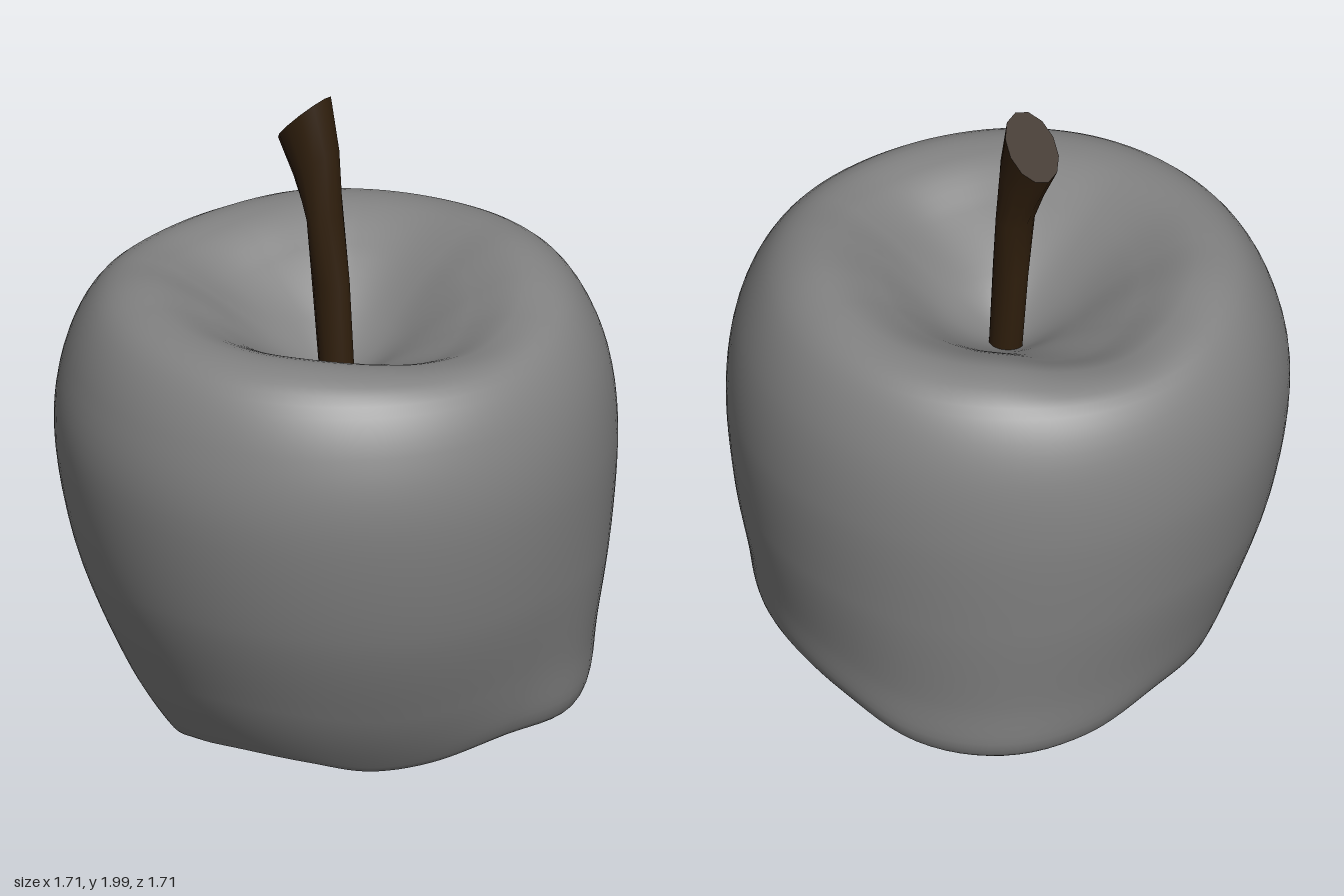
import * as THREE from 'three';
import { ParametricGeometry } from 'three/addons/geometries/ParametricGeometry.js';
import { toCreasedNormals } from 'three/addons/utils/BufferGeometryUtils.js';

// Every 20 degrees around the fruit: radius of the lower edge, its height, height of the top rim
const OUTLINE = new THREE.CatmullRomCurve3([
  [0.67, 0.088, 1.36], [0.58, 0.03, 1.37], [0.54, 0.014, 1.395],
  [0.56, 0.055, 1.41], [0.57, 0.07, 1.41], [0.56, 0.045, 1.41],
  [0.54, 0.012, 1.415], [0.6, 0.13, 1.415], [0.66, 0.165, 1.385],
  [0.7, 0.18, 1.36], [0.73, 0.115, 1.38], [0.77, 0.095, 1.415],
  [0.77, 0.11, 1.42], [0.76, 0.19, 1.425], [0.75, 0.22, 1.44],
  [0.74, 0.19, 1.45], [0.75, 0.145, 1.43], [0.75, 0.095, 1.39],
].map((p) => new THREE.Vector3(...p)), true, 'catmullrom', 0.5);

// Half cross-section of the fruit at one turn (0 to 1), from the underside to the stem hollow
function fruitProfile(turn) {
  const { x: r, y, z: rim } = OUTLINE.getPoint(turn);
  const { lerp } = THREE.MathUtils;
  return new THREE.SplineCurve([
    [0.001, 0.16], [r * 0.45, lerp(y, 0.16, 0.75)], [r * 0.8, lerp(y, 0.16, 0.25)], [r - 0.03, y],
    [r + 0.02, y + 0.045], [lerp(r, 0.855, 0.4), lerp(y, 0.95, 0.25)],
    [lerp(r, 0.855, 0.8), lerp(y, 0.95, 0.6)], [0.853, 0.95], [0.815, 1.2],
    [0.715, lerp(1.345, rim, 0.4)], [0.57, rim], [0.4, rim - 0.075],
    [0.2, 1.2], [0.08, 1.12], [0.001, 1.08],
  ].map(([px, py]) => new THREE.Vector2(px, py)));
}

function createFruit() {
  const geometry = new ParametricGeometry((u, v, target) => {
    const turn = 1 - THREE.MathUtils.clamp(u, 0, 1);
    const angle = turn * Math.PI * 2;
    const p = fruitProfile(turn).getPoint(v);
    target.set(p.x * Math.cos(angle), p.y, p.x * Math.sin(angle));
  }, 108, 70);
  const fruit = new THREE.Mesh(geometry, new THREE.MeshStandardMaterial({ color: 0x828282 }));
  fruit.name = 'fruit';
  return fruit;
}

// Leaning stem that flares towards a slanted cut
function createStem() {
  // Rings: left x, left y, right x, right y, half depth
  const rings = [
    [-0.06, 1.0, 0.05, 1.0, 0.048], [-0.1, 1.4, 0.025, 1.4, 0.05],
    [-0.11, 1.6, -0.01, 1.62, 0.065], [-0.165, 1.72, -0.022, 1.83, 0.068],
    [-0.22, 1.83, -0.06, 2.0, 0.083],
  ];
  const geometry = new THREE.CylinderGeometry(1, 1, 1, 12, rings.length - 1);
  const pos = geometry.attributes.position;
  for (let i = 0; i < pos.count; i++) {
    const [xl, yl, xr, yr, depth] = rings[Math.round((pos.getY(i) + 0.5) * (rings.length - 1))];
    const t = (pos.getX(i) + 1) / 2;
    pos.setXYZ(i, THREE.MathUtils.lerp(xl, xr, t), THREE.MathUtils.lerp(yl, yr, t), pos.getZ(i) * depth - 0.02);
  }
  const stem = new THREE.Mesh(
    toCreasedNormals(geometry, 0.8),
    new THREE.MeshStandardMaterial({ color: 0x301f0d }),
  );
  stem.name = 'stem';
  return stem;
}

export function createModel() {
  const model = new THREE.Group();
  model.name = 'apple';
  model.add(createFruit(), createStem());
  return model;
}
